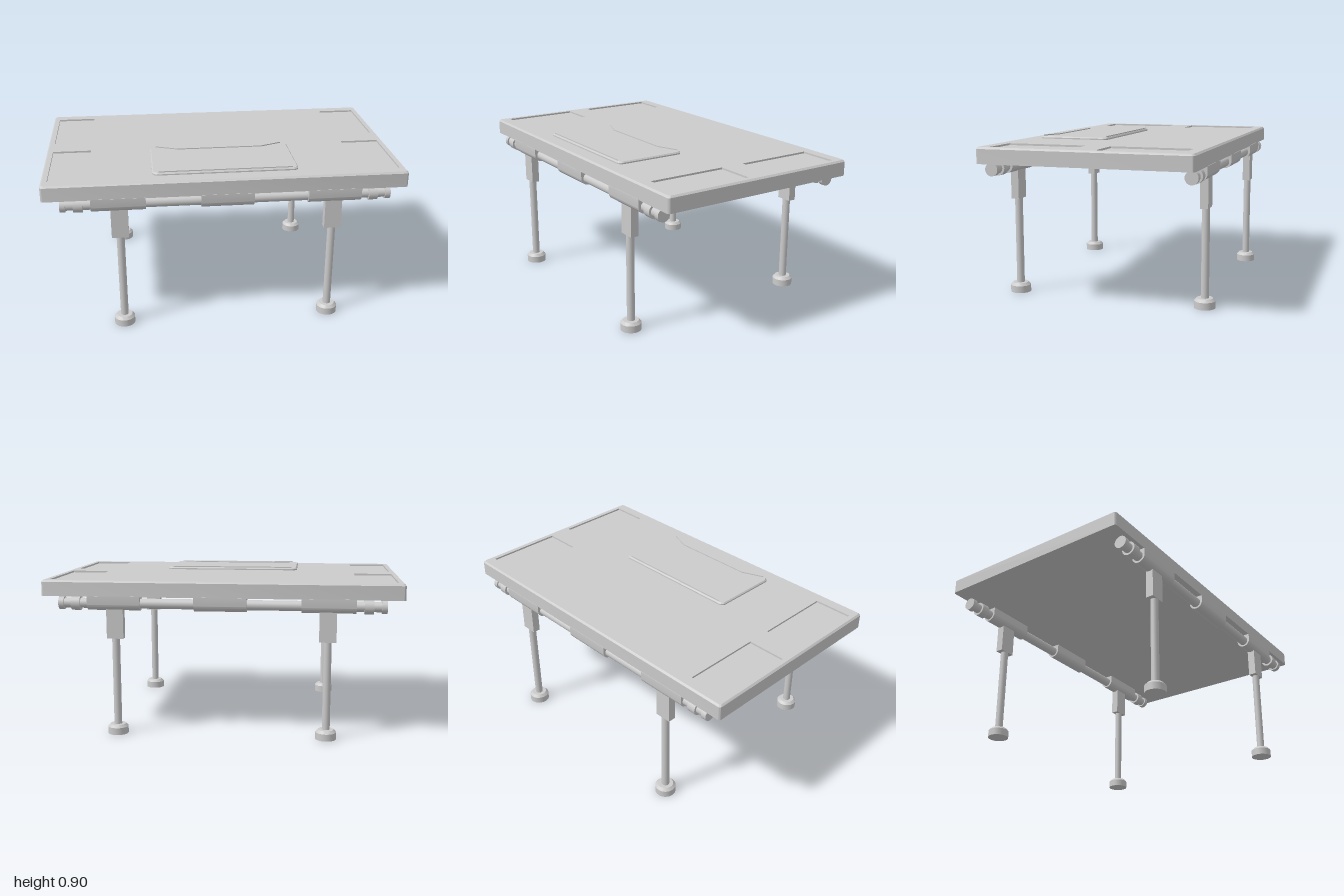
import * as THREE from 'three';
import { toCreasedNormals } from 'three/addons/utils/BufferGeometryUtils.js';

const material = new THREE.MeshStandardMaterial({ color: 0xcccccc });

function add(parent, name, geometry, x = 0, y = 0, z = 0) {
  const mesh = new THREE.Mesh(geometry, material);
  mesh.name = name;
  mesh.position.set(x, y, z);
  parent.add(mesh);
  return mesh;
}

// Rectangle with rounded corners, centred on the origin
function roundedRect(hx, hy, r) {
  const s = new THREE.Shape();
  s.absarc(hx - r, hy - r, r, 0, Math.PI / 2);
  s.absarc(-hx + r, hy - r, r, Math.PI / 2, Math.PI);
  s.absarc(-hx + r, -hy + r, r, Math.PI, Math.PI * 1.5);
  s.absarc(hx - r, -hy + r, r, Math.PI * 1.5, Math.PI * 2);
  s.closePath();
  return s;
}

// Horizontal slab rising from y = 0
function slab(shape, height) {
  return new THREE.ExtrudeGeometry(shape, { depth: height, bevelEnabled: false, curveSegments: 6 })
    .rotateX(-Math.PI / 2);
}

// Draw in the upper outer edge of a slab to make a chamfer
function chamferTop(geometry, hx, hz, inset, fromY, rim) {
  const p = geometry.attributes.position;
  for (let i = 0; i < p.count; i++) {
    const x = p.getX(i), z = p.getZ(i);
    if (p.getY(i) < fromY || (Math.abs(x) < hx - rim && Math.abs(z) < hz - rim)) continue;
    p.setX(i, x * (1 - inset / hx));
    p.setZ(i, z * (1 - inset / hz));
  }
  return toCreasedNormals(geometry, 0.5);
}

function polygon(points) {
  return points.map(([x, y]) => new THREE.Vector2(x, y));
}

const HX = 1, HZ = 0.589;

function tableTop() {
  const g = new THREE.Group();
  g.name = 'tableTop';
  add(g, 'slab', toCreasedNormals(slab(roundedRect(HX, HZ, 0.015), 0.079), 0.5), 0, 0.787, 0);

  // Upper plate, cut through for four shallow corner recesses
  const plate = roundedRect(HX, HZ, 0.015);
  for (const sx of [-1, 1]) for (const sz of [-1, 1]) {
    plate.holes.push(new THREE.Path(polygon([
      [0.745 * sx, 0.07 * sz], [0.965 * sx, 0.07 * sz],
      [0.965 * sx, 0.52 * sz], [0.745 * sx, 0.52 * sz],
    ])));
  }
  add(g, 'recessedPlate', chamferTop(slab(plate, 0.01), HX, HZ, 0.009, 0.005, 0.02), 0, 0.866, 0);
  return g;
}

function raisedPad() {
  const g = new THREE.Group();
  g.name = 'raisedPad';
  g.position.set(0, 0.875, 0.29);
  const hx = 0.403, hz = 0.206;
  add(g, 'padBase', toCreasedNormals(slab(roundedRect(hx, hz, 0.03), 0.008), 0.5));
  add(g, 'padTop', chamferTop(slab(roundedRect(hx, hz, 0.03), 0.007), hx, hz, 0.006, 0.004, 0.1), 0, 0.008, 0);

  // Tapered lips along the two long edges
  for (const s of [-1, 1]) {
    const lip = slab(new THREE.Shape(polygon([[-0.37, -0.196], [0.37, -0.196], [0.245, -0.146], [-0.245, -0.146]])), 0.006);
    if (s < 0) lip.rotateY(Math.PI);
    add(g, 'padLip', lip, 0, 0.015, 0);
  }
  return g;
}

// Rod along x between two positions
function rod(parent, name, x0, x1, radius) {
  const geometry = new THREE.CylinderGeometry(radius, radius, x1 - x0, 32).rotateZ(Math.PI / 2);
  add(parent, name, geometry, (x0 + x1) / 2, 0.747, 0);
}

// U-shaped housing hanging from the underside
function bracket(parent, x0, x1) {
  const r = 0.041, s = new THREE.Shape();
  s.moveTo(r, 0.04);
  s.lineTo(-r, 0.04);
  s.absarc(0, 0, r, Math.PI, Math.PI * 2);
  s.closePath();
  const geometry = new THREE.ExtrudeGeometry(s, { depth: x1 - x0, bevelEnabled: false, curveSegments: 24 })
    .rotateY(Math.PI / 2);
  add(parent, 'bracket', toCreasedNormals(geometry, 0.5), x0, 0.75, 0);
}

function leg(x) {
  const g = new THREE.Group();
  g.name = 'leg';
  g.position.x = x;
  add(g, 'legSocket', new THREE.BoxGeometry(0.094, 0.19, 0.045), 0, 0.645, 0);
  add(g, 'legRod', new THREE.CylinderGeometry(0.022, 0.022, 0.51, 24), 0, 0.3, 0);
  const profile = polygon([[0, 0], [0.058, 0], [0.058, 0.04], [0.044, 0.055], [0, 0.055]]);
  add(g, 'foot', toCreasedNormals(new THREE.LatheGeometry(profile, 32), 0.5));
  return g;
}

// Pivot rod with its brackets, end collars and two legs
function legAssembly(z) {
  const g = new THREE.Group();
  g.name = z > 0 ? 'frontLegAssembly' : 'backLegAssembly';
  g.position.z = z;
  rod(g, 'pivotRod', -0.89, 0.89, 0.028);
  bracket(g, -0.74, -0.445);
  bracket(g, -0.145, 0.145);
  bracket(g, 0.445, 0.74);
  for (const s of [-1, 1]) {
    rod(g, 'endCap', s * 0.89 - 0.015, s * 0.89 + 0.015, 0.036);
    rod(g, 'collar', s * 0.808 - 0.025, s * 0.808 + 0.025, 0.04);
    g.add(leg(s * 0.59));
  }
  return g;
}

export function createModel() {
  const model = new THREE.Group();
  model.name = 'foldingTable';
  model.add(tableTop(), raisedPad(), legAssembly(0.55), legAssembly(-0.55));
  return model;
}
